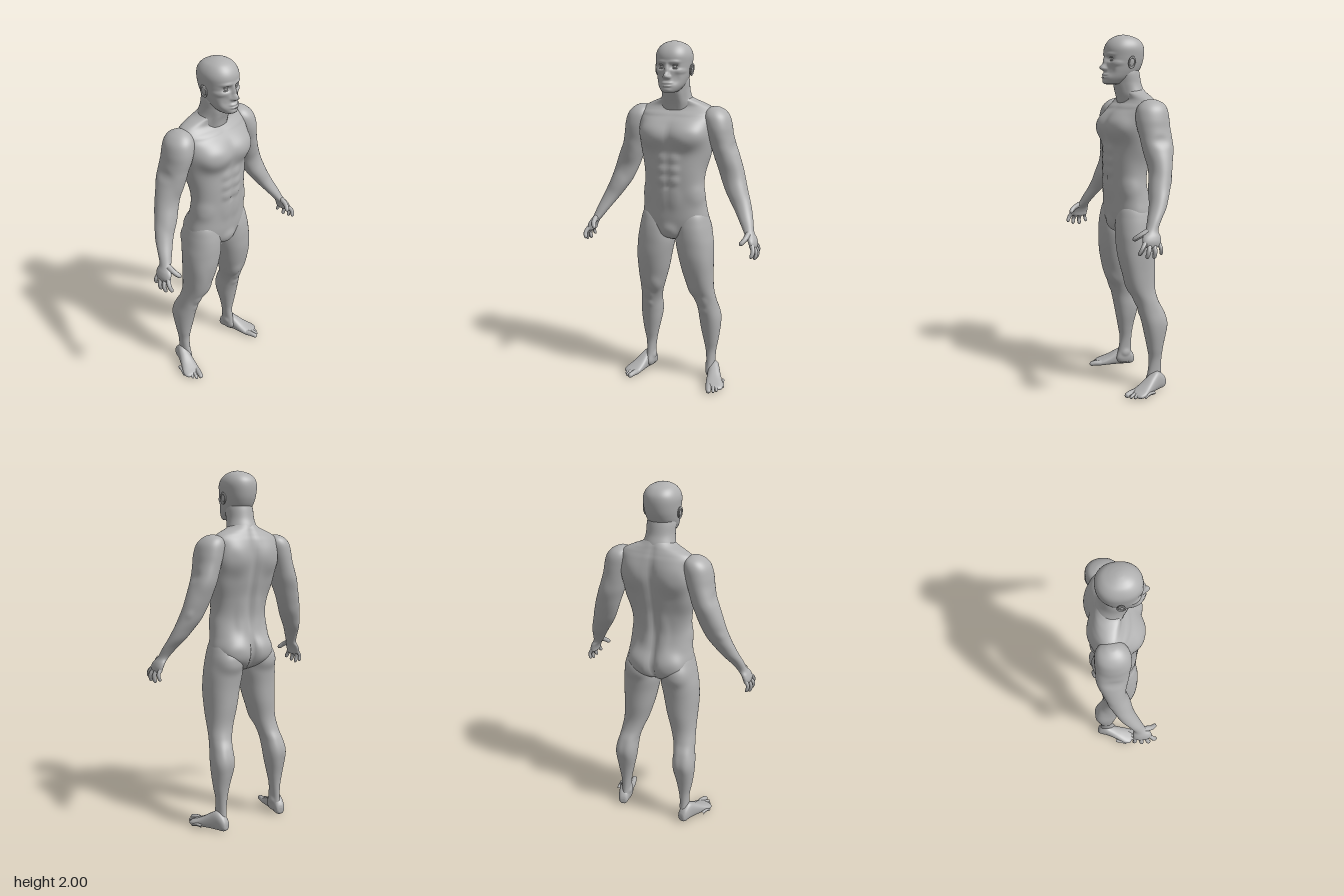
import * as THREE from 'three';

const skin = new THREE.MeshStandardMaterial({ color: 0xb0b0b0 });
skin.name = 'grey skin';

// Smooth interpolation through rows of numbers
function sample(rows, s) {
  const last = rows.length - 1;
  const i = Math.min(Math.floor(s * last), last - 1);
  const f = s * last - i;
  const at = (k) => rows[Math.max(0, Math.min(last, k))];
  return rows[i].map((b, k) => {
    const a = at(i - 1)[k], c = at(i + 1)[k], d = at(i + 2)[k];
    return b + 0.5 * f * (c - a + f * (2 * a - 5 * b + 4 * c - d + f * (3 * (b - c) + d - a)));
  });
}

// Skin over cross-sections [t, u0, u1, v0, v1]. Axis 'y': u = x, v = z. Axis 'z': u = y, v = x.
// Each muscle [x, y, z, rx, ry, rz, amount] pushes the surface in or out near its centre.
function loft(rows, { axis = 'y', sides = 48, steps = 50, power = 2.2, muscles = [], mirror = false } = {}) {
  const pos = [], index = [];
  const place = (u, v, t) => (axis === 'y' ? [u, t, v] : [v, u, t]);
  const round = (c) => Math.sign(c) * Math.abs(c) ** (2 / power);
  for (let j = 0; j <= steps; j++) {
    const [t, u0, u1, v0, v1] = sample(rows, j / steps);
    for (let i = 0; i < sides; i++) {
      const a = (i / sides) * Math.PI * 2;
      const du = round(Math.cos(a)) * (u1 - u0) / 2, dv = round(Math.sin(a)) * (v1 - v0) / 2;
      let u = (u0 + u1) / 2 + du, v = (v0 + v1) / 2 + dv;
      const [x, y, z] = place(u, v, t);
      let push = 0;
      for (const [mx, my, mz, rx, ry, rz, amount] of muscles) {
        const px = mirror ? Math.abs(x) : x;
        const d2 = ((px - mx) / rx) ** 2 + ((y - my) / ry) ** 2 + ((z - mz) / rz) ** 2;
        push += amount * Math.exp(-(d2 ** 1.5));
      }
      const len = Math.hypot(du, dv) || 1;
      u += push * du / len;
      v += push * dv / len;
      pos.push(...place(u, v, t));
      if (j < steps) {
        const p = j * sides + i, q = j * sides + (i + 1) % sides;
        index.push(p, p + sides, q, q, p + sides, q + sides);
      }
    }
  }
  // Close both ends
  const ends = [[rows[0], 0], [rows[rows.length - 1], steps * sides]];
  ends.forEach(([r, base], e) => {
    const c = pos.length / 3;
    pos.push(...place((r[1] + r[2]) / 2, (r[3] + r[4]) / 2, r[0]));
    for (let i = 0; i < sides; i++) {
      const p = base + i, q = base + (i + 1) % sides;
      index.push(c, e ? q : p, e ? p : q);
    }
  });
  const g = new THREE.BufferGeometry();
  g.setAttribute('position', new THREE.Float32BufferAttribute(pos, 3));
  g.setIndex(index);
  g.computeVertexNormals();
  return g;
}

// Finger or toe: a tube that tapers and rounds off at its tip
function digit(points, r) {
  const curve = new THREE.CatmullRomCurve3(points.map((p) => new THREE.Vector3(...p)));
  const n = 20, sides = 12;
  const g = new THREE.TubeGeometry(curve, n, r, sides);
  const p = g.attributes.position, v = new THREE.Vector3();
  for (let i = 0; i < p.count; i++) {
    const s = Math.floor(i / (sides + 1)) / n, c = curve.getPointAt(s);
    const tip = Math.max(0, (s - 0.8) / 0.2);
    v.fromBufferAttribute(p, i).sub(c).multiplyScalar((1.08 - 0.25 * s) * Math.sqrt(1.0001 - tip * tip)).add(c);
    p.setXYZ(i, v.x, v.y, v.z);
  }
  g.computeVertexNormals();
  return g;
}

// Mirrored copy with its faces turned the right way round
function flipX(geometry) {
  const g = geometry.clone().scale(-1, 1, 1);
  const ix = g.index.array;
  for (let i = 0; i < ix.length; i += 3) [ix[i], ix[i + 1]] = [ix[i + 1], ix[i]];
  g.computeVertexNormals();
  return g;
}

export function createModel() {
  const model = new THREE.Group();
  model.name = 'standing man';
  const add = (name, geometry) => {
    const mesh = new THREE.Mesh(geometry, skin);
    mesh.name = name;
    model.add(mesh);
  };
  const pair = (name, geometry) => {
    add('left ' + name, geometry);
    add('right ' + name, flipX(geometry));
  };
  const even = (rows) => rows.map(([y, w, back, front]) => [y, -w, w, back, front]);

  // Torso with chest, abdomen, back and buttocks
  add('torso', loft(even([
    [0.895, 0.02, -0.05, 0.03], [0.92, 0.09, -0.1, 0.075], [0.96, 0.165, -0.12, 0.095], [1.02, 0.193, -0.125, 0.105],
    [1.1, 0.184, -0.115, 0.108], [1.2, 0.172, -0.1, 0.112], [1.3, 0.176, -0.112, 0.115], [1.4, 0.192, -0.135, 0.112],
    [1.5, 0.208, -0.15, 0.118], [1.57, 0.215, -0.15, 0.092], [1.62, 0.215, -0.142, 0.045], [1.65, 0.19, -0.13, 0.02],
    [1.672, 0.145, -0.12, 0.02], [1.69, 0.1, -0.112, 0.03], [1.71, 0.07, -0.1, 0.035],
  ]), {
    sides: 96, steps: 120, mirror: true, muscles: [
      [0.1, 1.505, 0.11, 0.09, 0.075, 0.1, 0.028], // chest
      [0.035, 1.375, 0.11, 0.03, 0.027, 0.05, 0.008], // abdomen rows
      [0.035, 1.315, 0.11, 0.03, 0.027, 0.05, 0.009],
      [0.035, 1.255, 0.11, 0.03, 0.027, 0.05, 0.009],
      [0.03, 1.16, 0.11, 0.04, 0.065, 0.05, 0.006],
      [0, 1.22, 0.11, 0.008, 0.009, 0.05, -0.007], // navel
      [0.15, 1.17, 0.05, 0.045, 0.05, 0.08, 0.008], // flanks
      [0.18, 1.43, -0.06, 0.06, 0.13, 0.09, 0.014], // sides of the back
      [0.12, 1.53, -0.14, 0.08, 0.09, 0.08, 0.024], // shoulder blades
      [0.05, 1.2, -0.1, 0.035, 0.11, 0.06, 0.008], // lower back
      [0, 1.36, -0.13, 0.024, 0.3, 0.07, -0.014], // spine
      [0.085, 1.0, -0.12, 0.085, 0.09, 0.09, 0.036], // buttocks
      [0, 0.98, -0.13, 0.016, 0.09, 0.07, -0.022],
      [0.1, 1.615, 0.04, 0.1, 0.012, 0.06, 0.006], // collarbones
      [0, 0.95, 0.09, 0.045, 0.05, 0.05, 0.014], // groin
    ],
  }));

  add('neck', loft(even([
    [1.6, 0.1, -0.12, 0.03], [1.66, 0.1, -0.115, 0.038], [1.7, 0.086, -0.105, 0.05],
    [1.74, 0.079, -0.09, 0.062], [1.79, 0.078, -0.08, 0.07], [1.83, 0.07, -0.07, 0.06],
  ]), { power: 2, mirror: true, muscles: [[0.04, 1.69, 0.04, 0.018, 0.06, 0.03, 0.006]] }));

  // Head with brow, nose, lips and chin
  add('head', loft(even([
    [1.733, 0.02, 0.06, 0.11], [1.738, 0.042, 0.025, 0.125], [1.765, 0.065, -0.03, 0.13], [1.8, 0.079, -0.07, 0.125],
    [1.84, 0.088, -0.092, 0.12], [1.88, 0.094, -0.102, 0.119], [1.92, 0.097, -0.104, 0.119], [1.95, 0.089, -0.096, 0.108],
    [1.975, 0.071, -0.073, 0.086], [1.99, 0.046, -0.04, 0.06], [1.998, 0.02, -0.01, 0.032], [2.0, 0.002, 0.008, 0.012],
  ]), {
    sides: 112, steps: 110, mirror: true, muscles: [
      [0.036, 1.869, 0.11, 0.022, 0.015, 0.04, -0.013], // eye sockets
      [0.035, 1.893, 0.11, 0.032, 0.01, 0.04, 0.005], // brow
      [0, 1.85, 0.12, 0.012, 0.035, 0.05, 0.015], // nose
      [0, 1.822, 0.12, 0.014, 0.015, 0.05, 0.022],
      [0.014, 1.815, 0.12, 0.009, 0.009, 0.05, 0.009],
      [0, 1.785, 0.13, 0.026, 0.007, 0.04, 0.009], // lips
      [0, 1.77, 0.13, 0.023, 0.007, 0.04, 0.009],
      [0.045, 1.805, 0.11, 0.02, 0.028, 0.04, -0.006], // cheeks
      [0.065, 1.845, 0.08, 0.025, 0.014, 0.04, 0.005],
      [0, 1.747, 0.12, 0.025, 0.012, 0.04, 0.005], // chin
    ],
  }));
  pair('eye', new THREE.SphereGeometry(0.013, 20, 12).translate(0.035, 1.869, 0.092));
  for (const lid of [-1, 1]) {
    pair(lid > 0 ? 'upper eyelid' : 'lower eyelid', new THREE.SphereGeometry(1, 16, 10)
      .scale(0.018, 0.005, 0.009).translate(0.035, 1.869 + lid * 0.009, 0.098));
  }

  // Ears: a flat shell with a raised rim
  const setEar = (g) => g.rotateX(-0.15).rotateZ(-0.12).translate(0.096, 1.85, 0.008);
  pair('ear', setEar(new THREE.SphereGeometry(1, 20, 14).scale(0.008, 0.03, 0.019)));
  pair('ear rim', setEar(new THREE.TorusGeometry(0.018, 0.004, 10, 28).rotateY(Math.PI / 2).scale(1, 1.55, 1).translate(0.006, 0, 0)));

  // Arms from palm to shoulder
  pair('arm', loft([
    [0.915, 0.485, 0.505, 0.06, 0.11], [0.922, 0.475, 0.51, 0.04, 0.13], [0.945, 0.468, 0.511, 0.033, 0.137],
    [0.97, 0.455, 0.503, 0.033, 0.13], [1.0, 0.431, 0.487, 0.036, 0.102], [1.05, 0.396, 0.473, 0.005, 0.078],
    [1.1, 0.36, 0.456, -0.034, 0.055], [1.15, 0.325, 0.438, -0.06, 0.037], [1.2, 0.291, 0.418, -0.084, 0.024],
    [1.25, 0.266, 0.402, -0.1, 0.014], [1.3, 0.246, 0.387, -0.115, 0.01], [1.35, 0.228, 0.37, -0.126, 0.013],
    [1.4, 0.21, 0.35, -0.135, 0.02], [1.45, 0.195, 0.331, -0.138, 0.032], [1.5, 0.18, 0.319, -0.14, 0.043],
    [1.55, 0.165, 0.312, -0.14, 0.046], [1.6, 0.155, 0.298, -0.135, 0.036], [1.632, 0.165, 0.272, -0.118, 0.012],
    [1.65, 0.19, 0.24, -0.085, -0.02], [1.654, 0.21, 0.217, -0.06, -0.045],
  ], {
    power: 2.1, steps: 100, muscles: [
      [0.27, 1.38, 0.02, 0.05, 0.07, 0.05, 0.008], // upper arm, front
      [0.31, 1.42, -0.13, 0.05, 0.08, 0.05, 0.007], // upper arm, back
      [0.345, 1.44, -0.05, 0.03, 0.03, 0.06, -0.006], // below the shoulder cap
      [0.36, 1.2, 0.02, 0.05, 0.06, 0.05, 0.006], // forearm
      [0.39, 1.235, -0.1, 0.02, 0.025, 0.03, 0.005], // elbow
    ],
  }));
  const fingers = {
    thumb: [[0.463, 0.995, 0.095], [0.456, 0.973, 0.138], [0.436, 0.948, 0.167]],
    'index finger': [[0.489, 0.945, 0.12], [0.505, 0.914, 0.146], [0.497, 0.88, 0.163]],
    'middle finger': [[0.491, 0.935, 0.1], [0.514, 0.9, 0.115], [0.506, 0.863, 0.123]],
    'ring finger': [[0.491, 0.935, 0.075], [0.513, 0.897, 0.079], [0.504, 0.858, 0.08]],
    'little finger': [[0.489, 0.94, 0.047], [0.508, 0.907, 0.042], [0.499, 0.873, 0.036]],
  };
  for (const [name, points] of Object.entries(fingers)) {
    pair(name, digit(points, name === 'thumb' ? 0.0145 : name === 'little finger' ? 0.0105 : 0.0125));
  }

  // Legs from ankle to hip
  pair('leg', loft([
    [0.02, 0.18, 0.22, -0.14, -0.05], [0.05, 0.172, 0.226, -0.143, -0.035], [0.1, 0.173, 0.222, -0.134, -0.05],
    [0.18, 0.165, 0.226, -0.134, -0.06], [0.25, 0.151, 0.239, -0.142, -0.05], [0.33, 0.134, 0.249, -0.157, -0.035],
    [0.4, 0.126, 0.25, -0.163, -0.02], [0.47, 0.121, 0.24, -0.145, -0.002], [0.53, 0.105, 0.233, -0.118, 0.015],
    [0.6, 0.08, 0.226, -0.105, 0.05], [0.7, 0.05, 0.225, -0.11, 0.08], [0.8, 0.028, 0.228, -0.113, 0.1],
    [0.88, 0.012, 0.225, -0.12, 0.105], [0.94, 0.012, 0.215, -0.122, 0.105], [1.0, 0.015, 0.203, -0.115, 0.098],
    [1.06, 0.03, 0.185, -0.09, 0.08], [1.1, 0.06, 0.15, -0.05, 0.04],
  ], {
    steps: 110, muscles: [
      [0.12, 0.6, 0.04, 0.035, 0.06, 0.045, 0.008], // inner thigh above the knee
      [0.2, 0.7, 0.06, 0.04, 0.12, 0.05, 0.006], // outer thigh
      [0.172, 0.525, 0.02, 0.03, 0.035, 0.03, 0.009], // kneecap
      [0.172, 0.46, -0.01, 0.02, 0.02, 0.03, 0.004],
      [0.15, 0.4, -0.14, 0.03, 0.08, 0.05, 0.006], // calf
      [0.225, 0.41, -0.14, 0.03, 0.08, 0.05, 0.006],
      [0.12, 0.96, -0.12, 0.085, 0.06, 0.06, 0.018], // base of the buttocks
      [0.172, 0.085, -0.09, 0.02, 0.02, 0.025, 0.008], // ankle bones
      [0.226, 0.075, -0.095, 0.02, 0.02, 0.025, 0.008],
    ],
  }));

  // Feet, turned outwards
  const setFoot = (g) => g.rotateY(0.3).translate(0.197, 0, -0.155);
  pair('foot', setFoot(loft([
    [0, 0.02, 0.045, -0.014, 0.014], [0.006, 0.008, 0.065, -0.024, 0.024], [0.025, 0.001, 0.09, -0.031, 0.031],
    [0.065, 0, 0.112, -0.034, 0.034], [0.11, 0, 0.092, -0.036, 0.041], [0.16, 0, 0.062, -0.041, 0.052],
    [0.2, 0, 0.043, -0.043, 0.061], [0.23, 0.003, 0.031, -0.038, 0.054], [0.243, 0.01, 0.022, -0.025, 0.035],
  ], { axis: 'z', power: 2.4 })));
  for (let i = 0; i < 5; i++) {
    const x = i ? -0.017 + i * 0.0185 : -0.026, r = i ? 0.0115 - i * 0.0006 : 0.0165;
    const tip = 0.283 - 0.006 * i - 0.003 * i * i;
    pair(i ? 'small toe ' + i : 'big toe', setFoot(digit(
      [[x, 0.02, tip - 0.075], [x, 0.021, tip - 0.035], [x + 0.002, r * 0.85, tip]], r)));
  }
  return model;
}
